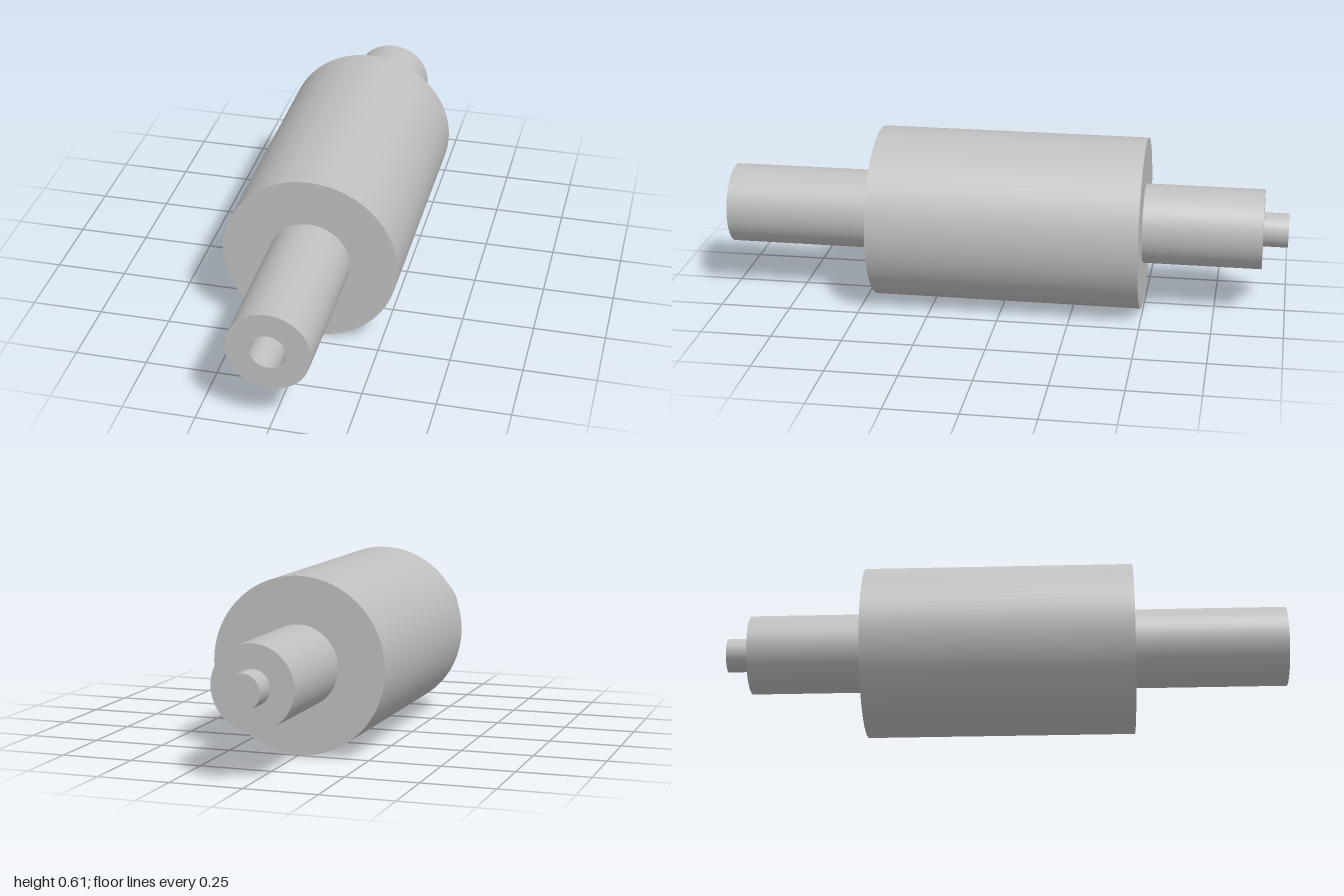
import * as THREE from 'three';
import { mergeGeometries } from 'three/addons/utils/BufferGeometryUtils.js';

const ROLLER_R = 0.304, SHAFT_R = 0.141, PIN_R = 0.06;

// Revolves a [radius, z] profile about the z axis, one lathe per segment so corners stay sharp.
// Profiles run from back to front, keeping the outside on the right.
function turned(name, profile, material) {
  const bands = [];
  for (let i = 0; i + 1 < profile.length; i++) {
    const ends = [profile[i], profile[i + 1]].map(([r, z]) => new THREE.Vector2(r, z));
    bands.push(new THREE.LatheGeometry(ends, 96));
  }
  const mesh = new THREE.Mesh(mergeGeometries(bands).rotateX(Math.PI / 2), material);
  mesh.name = name;
  return mesh;
}

export function createModel() {
  const steel = new THREE.MeshStandardMaterial({ color: 0xc0c0c0 });
  steel.name = 'grey steel';

  const model = new THREE.Group();
  model.name = 'rollerShaft';
  const axle = new THREE.Group();
  axle.name = 'turnedParts';
  axle.position.y = ROLLER_R;
  model.add(axle);

  // Wide roller body
  axle.add(turned('rollerBody', [
    [SHAFT_R, -0.495], [ROLLER_R, -0.495], [ROLLER_R, 0.457], [SHAFT_R, 0.457],
  ], steel));

  // Rear journal and its locating pin
  axle.add(turned('rearShaft', [
    [PIN_R, -0.913], [SHAFT_R, -0.913], [SHAFT_R, -0.495],
  ], steel));
  axle.add(turned('rearPin', [[0, -1], [PIN_R, -1], [PIN_R, -0.913]], steel));

  // Front journal with a blind bore
  axle.add(turned('frontShaft', [[SHAFT_R, 0.457], [SHAFT_R, 1], [PIN_R, 1]], steel));
  axle.add(turned('frontBore', [[PIN_R, 1], [PIN_R, 0.7], [0, 0.7]], steel));

  return model;
}
